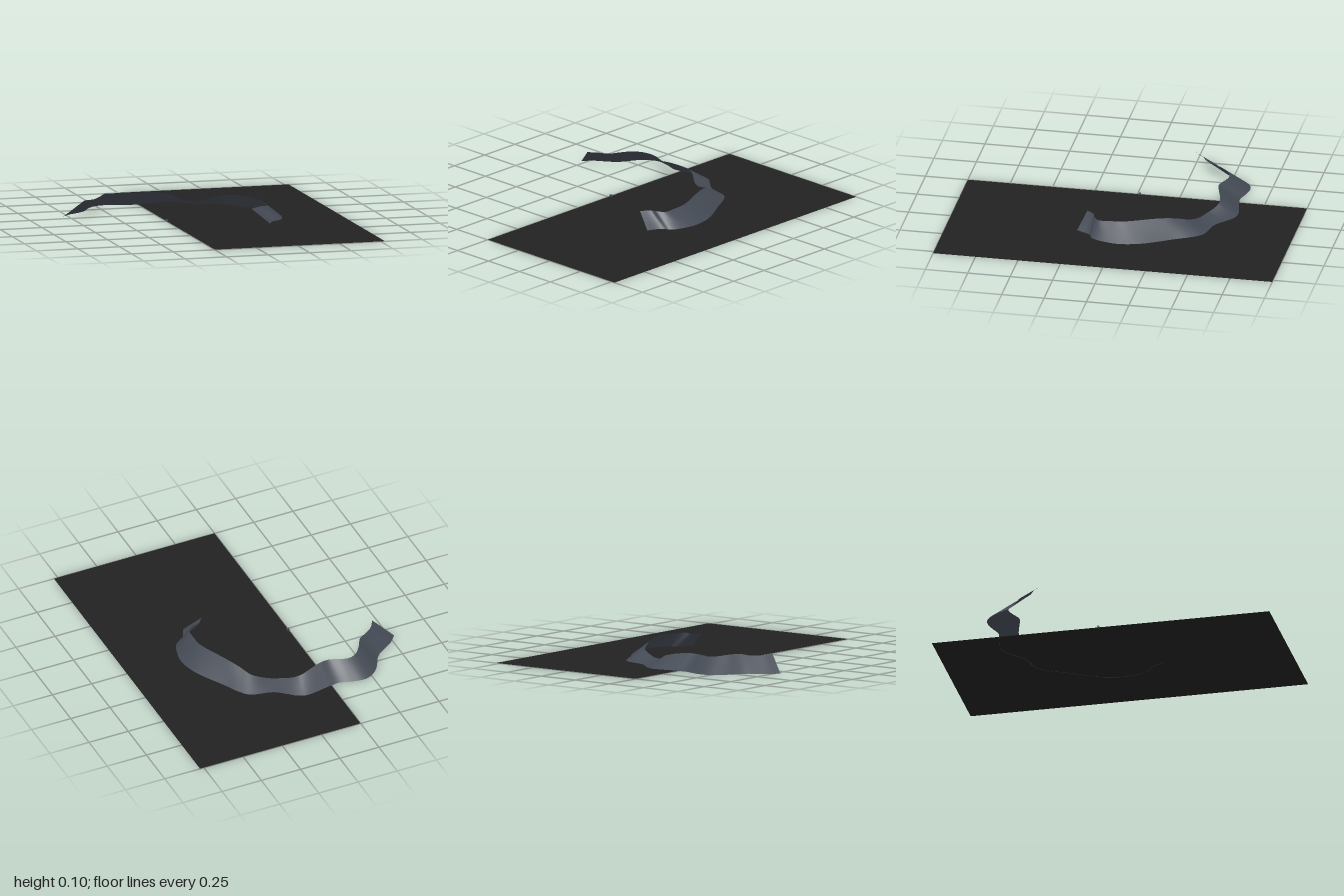
import * as THREE from 'three';

const groundMaterial = new THREE.MeshStandardMaterial({ color: 0x222222, side: THREE.DoubleSide });
groundMaterial.name = 'dark ground';
const trackMaterial = new THREE.MeshStandardMaterial({ color: 0x444a54, side: THREE.DoubleSide });
trackMaterial.name = 'slate grey';

// Rib stations along the bank: outer x, outer z, inner x, inner z, inner height
const stations = [
  [-0.78, -0.32, -0.67, -0.255, 0.1],
  [-0.733, -0.373, -0.638, -0.304, 0.093],
  [-0.67, -0.415, -0.585, -0.341, 0.09],
  [-0.616, -0.458, -0.532, -0.384, 0.1],
  [-0.553, -0.563, -0.495, -0.447, 0.099],
  [-0.5, -0.611, -0.452, -0.495, 0.092],
  [-0.447, -0.627, -0.405, -0.51, 0.088],
  [-0.373, -0.616, -0.352, -0.5, 0.09],
  [-0.299, -0.595, -0.288, -0.474, 0.088],
  [-0.225, -0.606, -0.225, -0.484, 0.09],
  [-0.087, -0.627, -0.098, -0.516, 0.07],
  [-0.034, -0.611, -0.05, -0.495, 0.05],
  [0.019, -0.569, -0.003, -0.458, 0.035],
  [0.082, -0.521, 0.061, -0.426, 0.032],
  [0.214, -0.484, 0.161, -0.384, 0.062],
  [0.262, -0.431, 0.198, -0.32, 0.08],
  [0.31, -0.341, 0.241, -0.235, 0.092],
  [0.415, -0.151, 0.325, -0.034, 0.092],
  [0.442, -0.024, 0.328, 0.04, 0.089],
  [0.426, 0.071, 0.32, 0.119, 0.085],
  [0.394, 0.14, 0.278, 0.151, 0.09],
  [0.347, 0.167, 0.246, 0.156, 0.085],
  [0.304, 0.246, 0.204, 0.204, 0.085],
];

// Sloped strip between a low outer edge and a raised inner edge
function makeBank() {
  const outer = new THREE.CatmullRomCurve3(stations.map(([x, z]) => new THREE.Vector3(x, 0, z)));
  const inner = new THREE.CatmullRomCurve3(stations.map(([, , x, z, y]) => new THREE.Vector3(x, y, z)));
  const steps = (stations.length - 1) * 5;
  const across = 4;
  const positions = [];
  const indices = [];
  for (let i = 0; i <= steps; i++) {
    const a = outer.getPoint(i / steps);
    const b = inner.getPoint(i / steps);
    for (let j = 0; j <= across; j++) {
      const p = a.clone().lerp(b, j / across);
      positions.push(p.x, p.y, p.z);
      if (i < steps && j < across) {
        const k = i * (across + 1) + j;
        const n = k + across + 1;
        indices.push(k, k + 1, n, k + 1, n + 1, n);
      }
    }
  }
  const geometry = new THREE.BufferGeometry();
  geometry.setAttribute('position', new THREE.Float32BufferAttribute(positions, 3));
  geometry.setIndex(indices);
  geometry.computeVertexNormals();
  return geometry;
}

export function createModel() {
  const model = new THREE.Group();
  model.name = 'bankedTrack';

  // Flat ground sheet
  const ground = new THREE.Mesh(new THREE.PlaneGeometry(1.024, 2).rotateX(-Math.PI / 2), groundMaterial);
  ground.name = 'ground';
  ground.position.set(0.263, 0.001, 0);
  model.add(ground);

  // Winding sloped strip
  const bank = new THREE.Mesh(makeBank(), trackMaterial);
  bank.name = 'slopedBank';
  model.add(bank);

  // Tiny marker at the ground's edge
  const marker = new THREE.Mesh(new THREE.BoxGeometry(0.015, 0.01, 0.012), trackMaterial);
  marker.name = 'edgeMarker';
  marker.position.set(-0.245, 0.006, -0.015);
  model.add(marker);

  return model;
}
